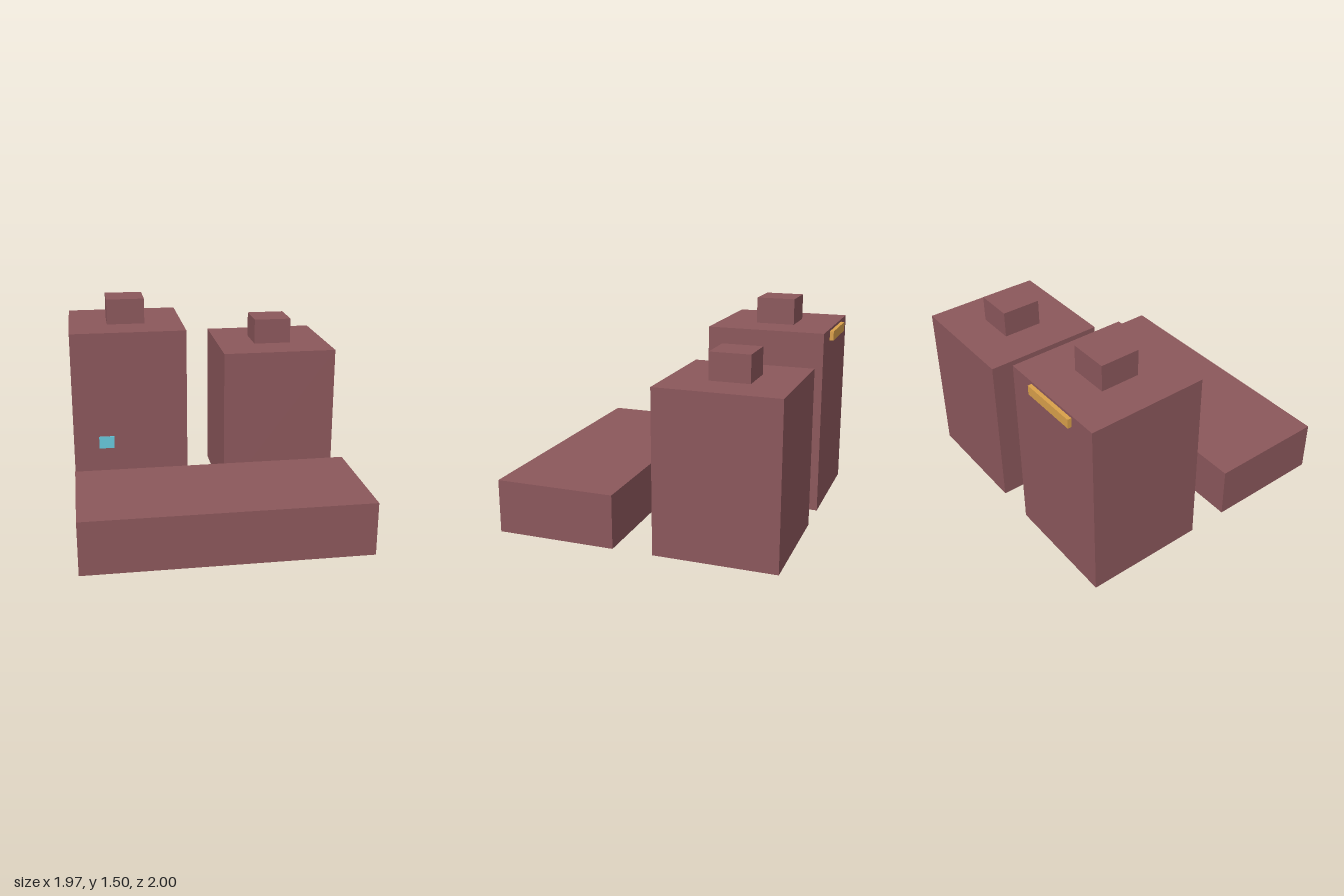
import * as THREE from 'three';

const brick = new THREE.MeshStandardMaterial({ color: 0x8b575b, flatShading: true });
const cyan = new THREE.MeshStandardMaterial({ color: 0x66c8dc, flatShading: true });
const orange = new THREE.MeshStandardMaterial({ color: 0xd9a04a, flatShading: true });

// Box given by its extents along each axis
function block(name, [x0, x1], [y0, y1], [z0, z1], material) {
  const mesh = new THREE.Mesh(new THREE.BoxGeometry(x1 - x0, y1 - y0, z1 - z0), material);
  mesh.position.set((x0 + x1) / 2, (y0 + y1) / 2, (z0 + z1) / 2);
  mesh.name = name;
  return mesh;
}

// Square tower with a small rooftop housing in the middle
function tower(name, x, height) {
  const z = -0.55, half = 0.4225, roofHalf = 0.14;
  const group = new THREE.Group();
  group.name = name;
  group.add(
    block('towerBody', [x - half, x + half], [0, height], [z - half, z + half], brick),
    block('roofHousing', [x - roofHalf, x + roofHalf], [height, height + 0.188], [z - roofHalf, z + roofHalf], brick)
  );
  return group;
}

export function createModel() {
  const model = new THREE.Group();
  model.name = 'buildingComplex';

  // Long low building across the front
  model.add(block('lowBuilding', [-0.985, 0.985], [0, 0.376], [0.155, 1], brick));

  // Two towers behind it
  model.add(tower('tallTower', -0.563, 1.315), tower('shortTower', 0.563, 1.127));

  // Panels on the tall tower: small window in front, long sign at the back
  model.add(block('frontWindow', [-0.8, -0.688], [0.44, 0.53], [-0.14, -0.118], cyan));
  model.add(block('backSign', [-0.78, -0.355], [1.23, 1.297], [-1, -0.96], orange));

  return model;
}
